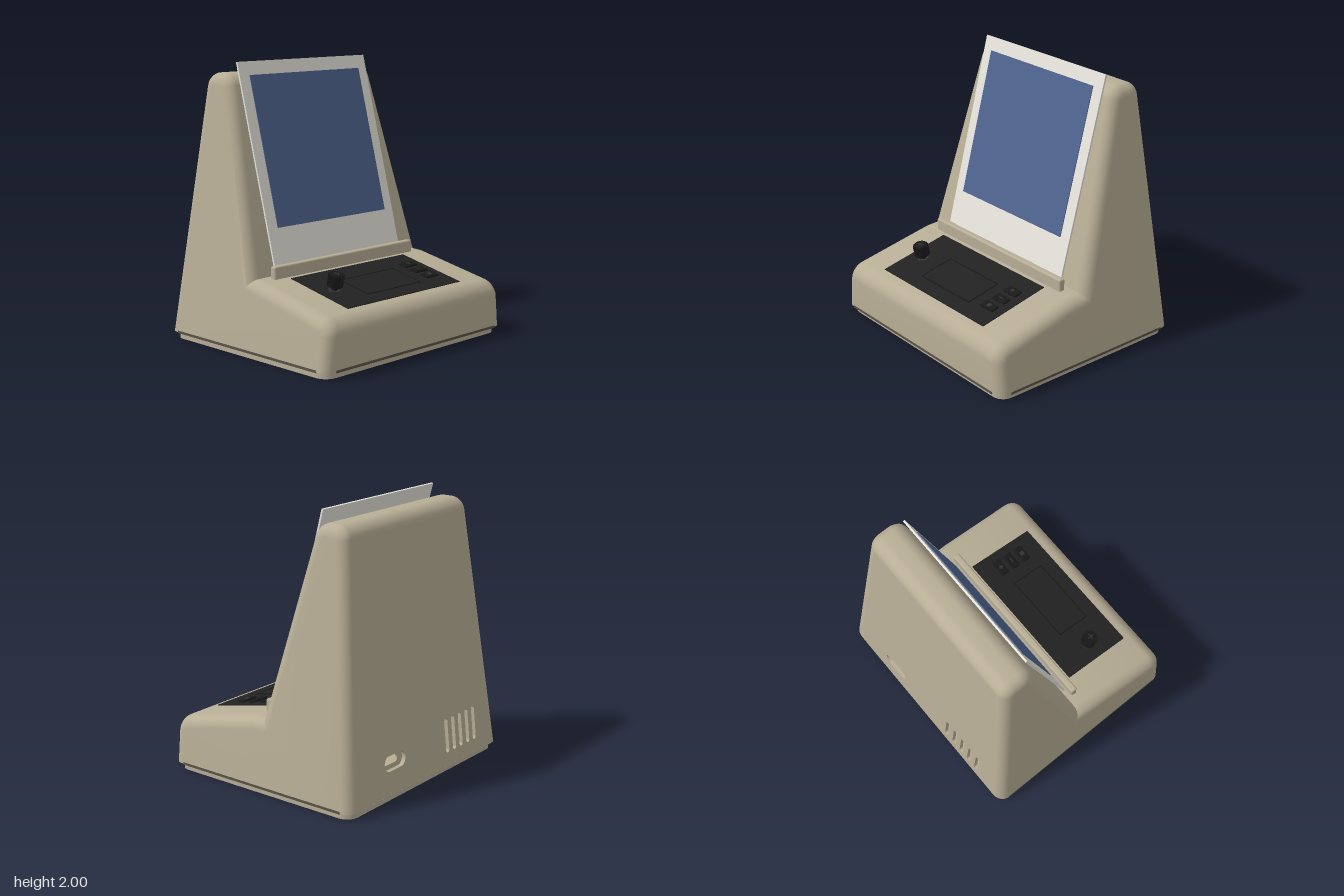
import * as THREE from 'three';
import { toCreasedNormals } from 'three/addons/utils/BufferGeometryUtils.js';
import { RoundedBoxGeometry } from 'three/addons/geometries/RoundedBoxGeometry.js';

const paint = (name, color, side = THREE.FrontSide) => {
  const m = new THREE.MeshStandardMaterial({ color, side });
  m.name = name;
  return m;
};

// Half width of the tapered housing and depth of its leaning back, by height
const halfWidth = (y) => 0.91 - 0.107 * (y - 0.05);
const backZ = (y) => -0.805 + 0.109 * (y - 0.05);
const FLOOR = 0.05;

// Closed shape from corners [x, y, rounding length]
function roundedShape(corners) {
  const shape = new THREE.Shape();
  const n = corners.length;
  corners.forEach(([x, y, d = 0], i) => {
    const c = new THREE.Vector2(x, y);
    const toward = (j) => new THREE.Vector2(corners[j][0], corners[j][1]).sub(c).normalize();
    const prev = toward((i + n - 1) % n), next = toward((i + 1) % n);
    const at = (dir, k) => c.clone().addScaledVector(dir, k);
    const a = at(prev, d), b = at(next, d);
    if (i === 0) shape.moveTo(a.x, a.y); else shape.lineTo(a.x, a.y);
    if (d > 0) {
      const p = at(prev, d * 0.45), q = at(next, d * 0.45);
      shape.bezierCurveTo(p.x, p.y, q.x, q.y, b.x, b.y);
    }
  });
  shape.closePath();
  return shape;
}

const roundedRect = (cx, cy, w, h, d) => roundedShape([
  [cx - w / 2, cy - h / 2, d], [cx + w / 2, cy - h / 2, d],
  [cx + w / 2, cy + h / 2, d], [cx - w / 2, cy + h / 2, d]]);

// Side profile extruded with soft edges, tapered upwards, left open at the floor and back
function housingGeometry() {
  const profile = roundedShape([
    [0.81, -0.1], [0.81, 0.38, 0.1], [0.1, 0.531], [0.012, 0.535],
    [-0.358, 1.92, 0.085], [backZ(1.92), 1.92, 0.09], [backZ(FLOOR), FLOOR], [backZ(FLOOR), -0.1]]);
  const bevel = 0.1;
  const geo = new THREE.ExtrudeGeometry(profile, {
    depth: 2 - 2 * bevel, bevelThickness: bevel, bevelSize: 0.08, bevelOffset: -0.08,
    bevelSegments: 7, curveSegments: 8 });
  geo.translate(0, 0, bevel - 1).rotateY(-Math.PI / 2);
  const pos = geo.attributes.position;
  for (let i = 0; i < pos.count; i++) {
    const y = Math.max(pos.getY(i), FLOOR);
    pos.setXYZ(i, pos.getX(i) * halfWidth(y), y, pos.getZ(i));
  }
  const backNormal = new THREE.Vector3(0, 0.109, -1).normalize();
  const kept = [];
  let backTop = FLOOR;
  const tri = new THREE.Triangle(), normal = new THREE.Vector3();
  for (let i = 0; i < pos.count; i += 3) {
    tri.setFromAttributeAndIndices(pos, i, i + 1, i + 2);
    const corners = [tri.a, tri.b, tri.c];
    if (corners.every((p) => p.y < FLOOR + 0.0005) || tri.getArea() < 1e-9) continue;
    if (tri.getNormal(normal).dot(backNormal) > 0.998) {
      corners.forEach((p) => { backTop = Math.max(backTop, p.y); });
      continue;
    }
    corners.forEach((p) => kept.push(p.x, p.y, p.z));
  }
  const open = new THREE.BufferGeometry();
  open.setAttribute('position', new THREE.Float32BufferAttribute(kept, 3));
  return { geometry: toCreasedNormals(open, 0.5), backTop, inner: 1 - bevel };
}

export function createModel() {
  const model = new THREE.Group();
  model.name = 'desktopPhotoDisplay';
  const shell = paint('warm beige', 0xb8ae96, THREE.DoubleSide);
  const seamDark = paint('seam brown', 0x5a5448);
  const card = paint('off white', 0xefede5);
  const blue = paint('picture blue', 0x4f6590);
  const black = paint('panel black', 0x222222);
  const knobBlack = paint('knob black', 0x191919);
  const grey = paint('dark grey', 0x343434);

  const add = (name, geometry, material, x = 0, y = 0, z = 0, parent = model) => {
    const mesh = new THREE.Mesh(geometry, material);
    mesh.name = name;
    mesh.position.set(x, y, z);
    parent.add(mesh);
    return mesh;
  };
  const box = (w, h, d) => new THREE.BoxGeometry(w, h, d);

  const { geometry, backTop, inner } = housingGeometry();
  add('housing', geometry, shell);

  // Back wall with vent slots and a cable port
  const leanBack = (geo) => {
    const p = geo.attributes.position;
    for (let i = 0; i < p.count; i++) p.setZ(i, p.getZ(i) + backZ(p.getY(i)));
    geo.computeVertexNormals();
    return geo;
  };
  const wb = inner * halfWidth(FLOOR), wt = inner * halfWidth(backTop);
  const wall = roundedShape([[-wb, FLOOR], [wb, FLOOR], [wt, backTop], [-wt, backTop]]);
  for (let i = 0; i < 5; i++) wall.holes.push(roundedRect(-0.6 + i * 0.0875, 0.27, 0.04, 0.25, 0.0199));
  wall.holes.push(roundedRect(0.38, 0.27, 0.24, 0.11, 0.054));
  add('backWall', leanBack(new THREE.ExtrudeGeometry(wall, { depth: 0.03, bevelEnabled: false, curveSegments: 6 })), shell);
  const portPlate = roundedRect(0.38, 0.27, 0.28, 0.15, 0.05);
  portPlate.holes.push(roundedRect(0.38, 0.27, 0.15, 0.055, 0.027));
  const port = new THREE.ExtrudeGeometry(portPlate, { depth: 0.01, bevelEnabled: false });
  add('portPlate', leanBack(port.translate(0, 0, 0.04)), shell);

  // Base plate with floor vents and screw recesses, and the rim around it
  const flat = (shape, depth, top) =>
    new THREE.ExtrudeGeometry(shape, { depth, bevelEnabled: false, curveSegments: 8 })
      .rotateX(Math.PI / 2).translate(0, top, 0);
  const base = roundedRect(0, 0, 1.77, 1.56, 0.09);
  for (let i = 0; i < 8; i++) base.holes.push(roundedRect(-0.4375 + i * 0.125, 0.48, 0.042, 0.3, 0.0209));
  for (const x of [-0.8, 0.8]) for (const z of [-0.7, 0.7]) {
    base.holes.push(roundedRect(x, z, 0.09, 0.09, 0.0449));
    add('footScrew', new THREE.CylinderGeometry(0.047, 0.03, 0.03, 20), shell, x, 0.035, z);
  }
  add('basePlate', flat(base, 0.05, FLOOR), shell);
  const rim = roundedRect(0, 0, 1.816, 1.61, 0.1);
  rim.holes.push(roundedRect(0, 0, 1.74, 1.53, 0.08));
  add('baseRim', flat(rim, 0.004, FLOOR + 0.003), shell);

  // Seam strips above the base
  add('frontSeam', box(1.64, 0.018, 0.006), seamDark, 0, 0.052, 0.809);
  for (const s of [-1, 1]) add('sideSeam', box(0.006, 0.018, 1.43), seamDark, s * 0.908, 0.052, 0);

  // Ledge that holds the picture card
  add('cardLedge', new RoundedBoxGeometry(1.4, 0.11, 0.05, 3, 0.014), shell, 0, 0.565, 0.075);

  // Leaning card with its picture
  const picture = new THREE.Group();
  picture.name = 'pictureCard';
  picture.position.set(0, 1.265, -0.16);
  picture.rotation.x = -Math.atan(0.267);
  model.add(picture);
  add('card', box(1.265, 1.517, 0.014), card, 0, 0, 0, picture);
  add('pictureArea', box(1.09, 1.086, 0.006), blue, 0, 0.116, 0.012, picture);

  // Sloping control panel
  const controls = new THREE.Group();
  controls.name = 'controlPanel';
  controls.position.set(0, 0.466, 0.405);
  controls.rotation.x = Math.atan(0.213);
  model.add(controls);
  const put = (name, geo, mat, x, y, z) => add(name, geo, mat, x, y, z, controls);
  put('panelPlate', box(1.15, 0.009, 0.563), black, -0.005, 0.001, 0);

  // Small display with a thin frame
  const frame = roundedRect(0, 0, 0.55, 0.28, 0.012);
  frame.holes.push(roundedRect(0, 0, 0.53, 0.26, 0.01));
  put('displayFrame', flat(frame, 0.005, 0.009), knobBlack, 0, 0, 0.03);
  put('display', box(0.53, 0.002, 0.26), black, 0, 0.006, 0.03);

  // Three push buttons with raised marks
  const marks = [[0.026, 0.026, Math.PI / 4], [0.04, 0.008, 0], [0.034, 0.034, 0]];
  marks.forEach(([w, d, turn], i) => {
    const z = (i - 1) * 0.107;
    put('button', new RoundedBoxGeometry(0.13, 0.02, 0.07, 2, 0.008), knobBlack, 0.435, 0.009, z);
    put('buttonMark', box(w, 0.004, d), grey, 0.435, 0.02, z).rotation.y = turn;
  });

  // Ribbed knob on a shaft
  const kx = -0.45, kz = 0.015;
  put('knobCollar', new THREE.CylinderGeometry(0.042, 0.042, 0.008, 24), grey, kx, 0.009, kz);
  put('knobShaft', new THREE.CylinderGeometry(0.022, 0.022, 0.04, 16), knobBlack, kx, 0.025, kz);
  put('knob', new THREE.CylinderGeometry(0.049, 0.053, 0.09, 24), knobBlack, kx, 0.085, kz);
  for (let i = 0; i < 16; i++) {
    const a = i * Math.PI / 8;
    put('knobRib', box(0.008, 0.082, 0.01), knobBlack,
      kx + 0.052 * Math.sin(a), 0.083, kz + 0.052 * Math.cos(a)).rotation.y = a;
  }
  for (const turn of [0, Math.PI / 2]) {
    put('knobMark', box(0.05, 0.004, 0.008), grey, kx, 0.131, kz).rotation.y = turn;
  }
  return model;
}
